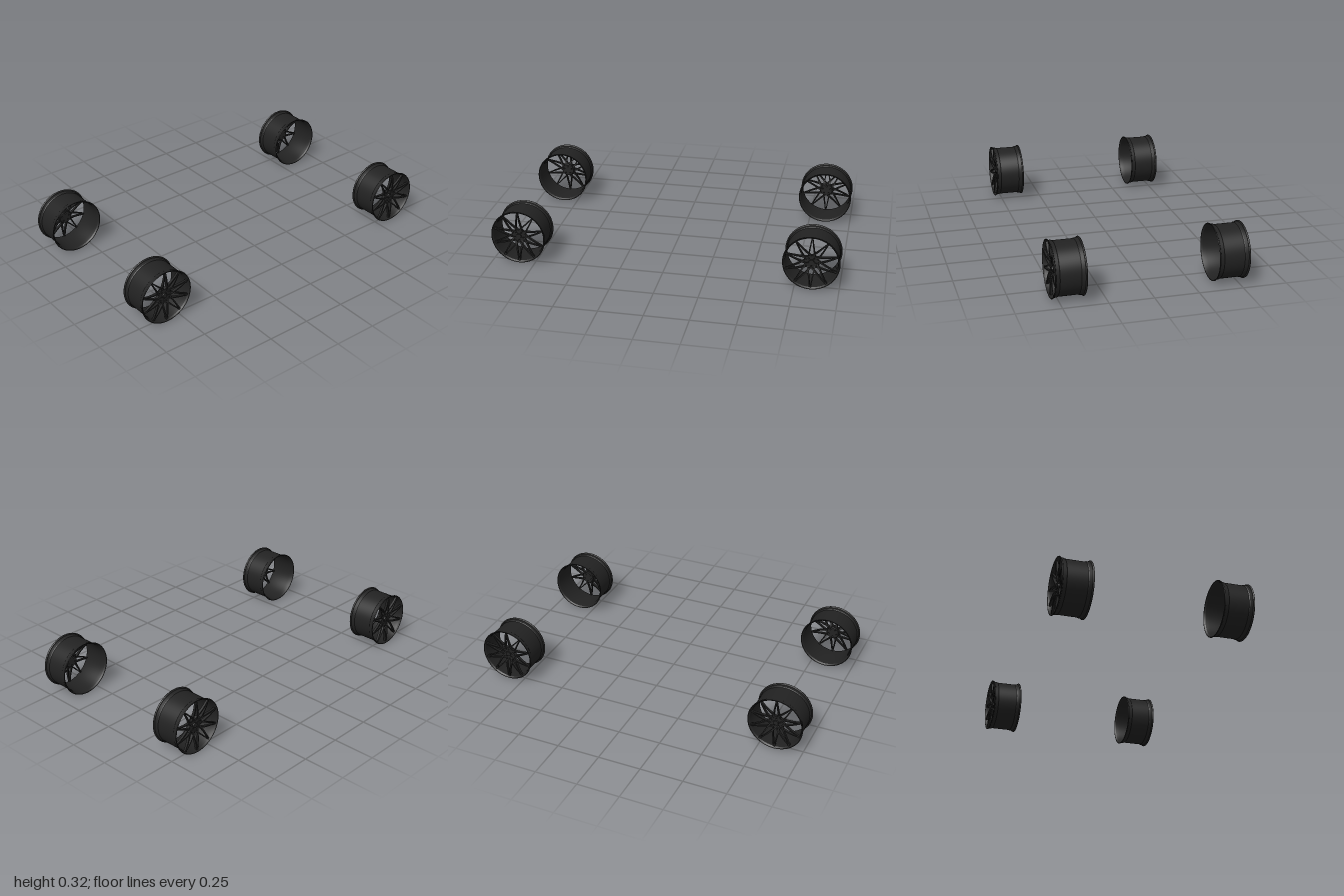
import * as THREE from 'three';
import { toCreasedNormals } from 'three/addons/utils/BufferGeometryUtils.js';

const R = 0.16, HALF = 0.0875, SPOKES = 10;
const black = new THREE.MeshStandardMaterial({ color: 0x222222 });

function part(name, geometry) {
  const mesh = new THREE.Mesh(geometry, black);
  mesh.name = name;
  return mesh;
}

// Barrel with flared lips: outer skin upwards, inner skin back down
function barrelGeometry() {
  const outer = [[0.159, -HALF], [R, -0.085], [0.1575, -0.081], [0.1535, -0.079], [0.1525, -0.062], [0.1495, -0.058]];
  const inner = [[0.1555, HALF], [0.149, 0.079], [0.146, 0.058]];
  const flip = list => list.map(([r, y]) => [r, -y]).reverse();
  const points = [...outer, ...flip(outer), ...inner, ...flip(inner), outer[0]];
  const lathe = new THREE.LatheGeometry(points.map(p => new THREE.Vector2(...p)), 72);
  return toCreasedNormals(lathe, 0.5);
}

// Tapered bar between two points, dished towards the hub
function spokeGeometry(a, b) {
  const geometry = new THREE.BoxGeometry(1, 1, 1, 8, 1, 1);
  const dir = b.clone().sub(a).setY(0).normalize();
  const side = new THREE.Vector3(-dir.z, 0, dir.x);
  const pos = geometry.attributes.position, p = new THREE.Vector3();
  for (let i = 0; i < pos.count; i++) {
    const t = pos.getX(i) + 0.5;
    p.lerpVectors(a, b, t).addScaledVector(side, pos.getZ(i) * THREE.MathUtils.lerp(0.008, 0.0055, t));
    p.y += 0.006 * Math.sin(Math.PI * t) + pos.getY(i) * THREE.MathUtils.lerp(0.018, 0.012, t);
    pos.setXYZ(i, p.x, p.y, p.z);
  }
  return toCreasedNormals(geometry, 0.5);
}

// Hub disc drilled for the bolts
function hubGeometry() {
  const shape = new THREE.Shape().absarc(0, 0, 0.036, 0, Math.PI * 2);
  for (let i = 0; i < 5; i++) {
    const a = i * Math.PI * 0.4;
    shape.holes.push(new THREE.Path().absarc(0.025 * Math.cos(a), 0.025 * Math.sin(a), 0.0045, 0, Math.PI * 2, true));
  }
  const geometry = new THREE.ExtrudeGeometry(shape, {
    depth: 0.022, bevelSize: 0.0015, bevelThickness: 0.0015, bevelSegments: 1, curveSegments: 24,
  });
  return geometry.rotateX(-Math.PI / 2);
}

const polar = (r, angle, y) => new THREE.Vector3(r * Math.cos(angle), y, r * Math.sin(angle));

// One wheel, axle along y with its face towards +y
function createWheel() {
  const wheel = new THREE.Group();
  wheel.add(part('barrel', barrelGeometry()));

  // Pairs of crossing spokes that meet at the rim
  const spokes = new THREE.Group();
  spokes.name = 'spokes';
  for (let i = 0; i < SPOKES; i++) {
    const angle = i / SPOKES * Math.PI * 2;
    for (const s of [-1, 1]) {
      const foot = polar(0.033, angle + s * Math.PI / 5, 0.058);
      const tip = polar(0.149, angle + s * 0.012, 0.076);
      spokes.add(part('spoke', spokeGeometry(foot, tip)));
    }
  }
  wheel.add(spokes);

  const hub = part('hub', hubGeometry());
  hub.position.y = 0.042;
  const cap = part('centreCap', new THREE.CylinderGeometry(0.014, 0.016, 0.008, 32));
  cap.position.y = 0.068;
  wheel.add(hub, cap);
  return wheel;
}

export function createModel() {
  const model = new THREE.Group();
  model.name = 'wheelSet';
  const source = createWheel();
  for (const sx of [-1, 1]) {
    for (const sz of [-1, 1]) {
      const wheel = source.clone();
      wheel.name = (sz > 0 ? 'front' : 'rear') + (sx > 0 ? 'Left' : 'Right') + 'Wheel';
      wheel.position.set(sx * 0.45, R, sz * 0.84);
      wheel.rotation.z = -sx * Math.PI / 2;
      model.add(wheel);
    }
  }
  return model;
}
